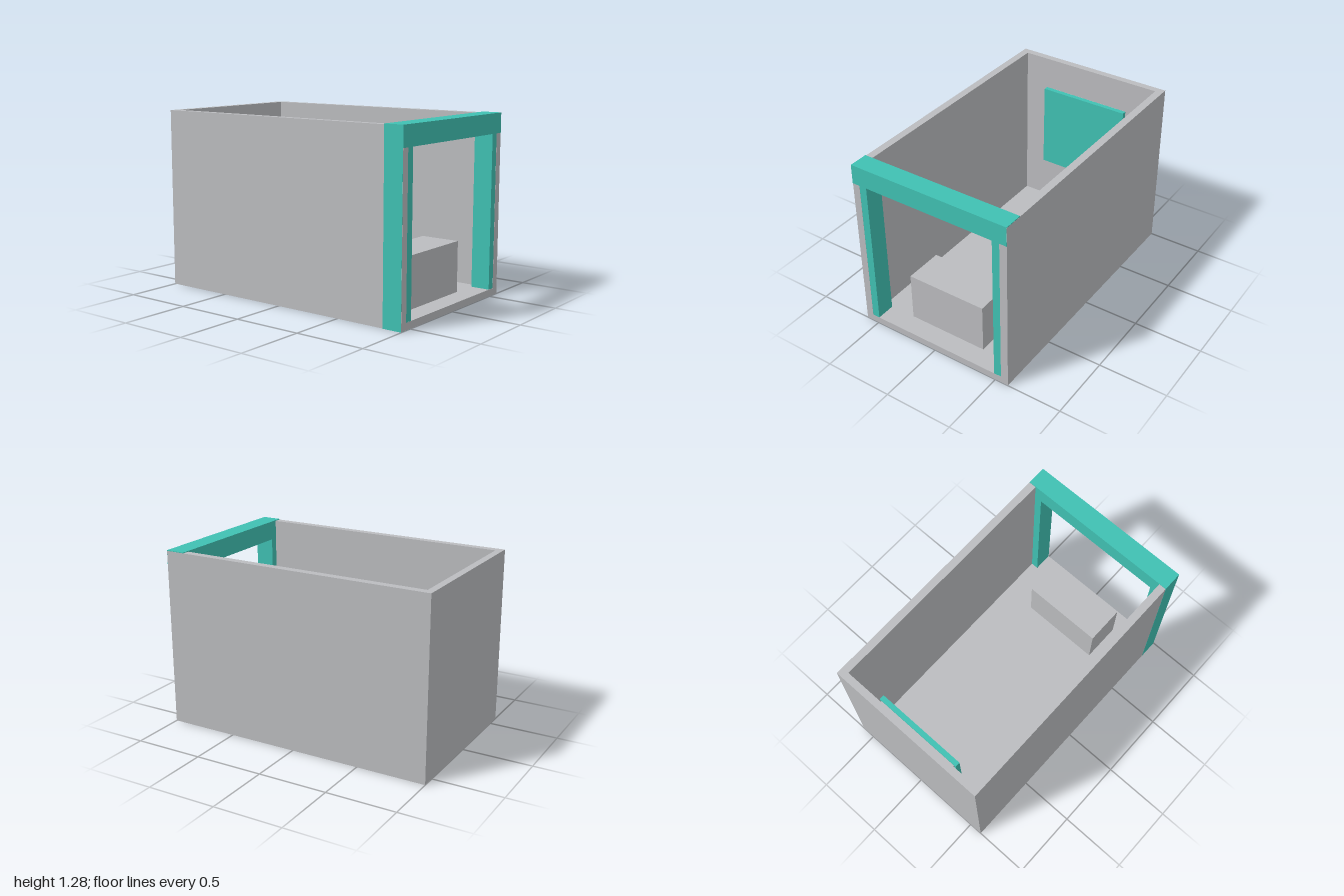
import * as THREE from 'three';

export function createModel() {
  const model = new THREE.Group();
  const mat = (name, color) => {
    const m = new THREE.MeshStandardMaterial({ color });
    m.name = name;
    return m;
  };
  const gray = mat('wall gray', 0xbbbcbf);
  const teal = mat('trim teal', 0x40c1b3);

  // Box given by its [min, max] range on each axis
  const box = (name, material, [x0, x1], [y0, y1], [z0, z1]) => {
    const mesh = new THREE.Mesh(new THREE.BoxGeometry(x1 - x0, y1 - y0, z1 - z0), material);
    mesh.position.set((x0 + x1) / 2, (y0 + y1) / 2, (z0 + z1) / 2);
    mesh.name = name;
    model.add(mesh);
  };

  // U-shaped walls, open at the front; the plan is drawn in x and -z, then laid flat
  const plan = new THREE.Shape([
    [-0.599, -0.999], [-0.545, -0.999], [-0.545, 0.95], [0.545, 0.95],
    [0.545, -0.999], [0.6, -0.999], [0.6, 1], [-0.599, 1],
  ].map(([x, y]) => new THREE.Vector2(x, y)));
  const wallGeometry = new THREE.ExtrudeGeometry(plan, { depth: 1.274, bevelEnabled: false });
  wallGeometry.rotateX(-Math.PI / 2).translate(0, 0.001, 0);
  const walls = new THREE.Mesh(wallGeometry, gray);
  walls.name = 'walls';
  model.add(walls);

  // Floor, fitted between the walls
  box('floor', gray, [-0.545, 0.545], [0.001, 0.05], [-0.95, 0.999]);

  // Entrance frame
  box('rightPillar', teal, [-0.6, -0.49], [0, 1.14], [0.86, 0.998]);
  box('leftPillar', teal, [0.49, 0.599], [0.002, 1.14], [0.86, 0.998]);
  box('lintel', teal, [-0.6, 0.5995], [1.14, 1.28], [0.86, 1]);

  // Counter just inside the entrance
  box('counter', gray, [-0.3, 0.3], [0.05, 0.41], [0.57, 0.855]);

  // Display panel on the back wall
  box('panelMount', gray, [-0.325, 0.325], [0.435, 1.045], [-0.935, -0.91]);
  box('panel', teal, [-0.34, 0.34], [0.42, 1.06], [-0.91, -0.875]);

  return model;
}
